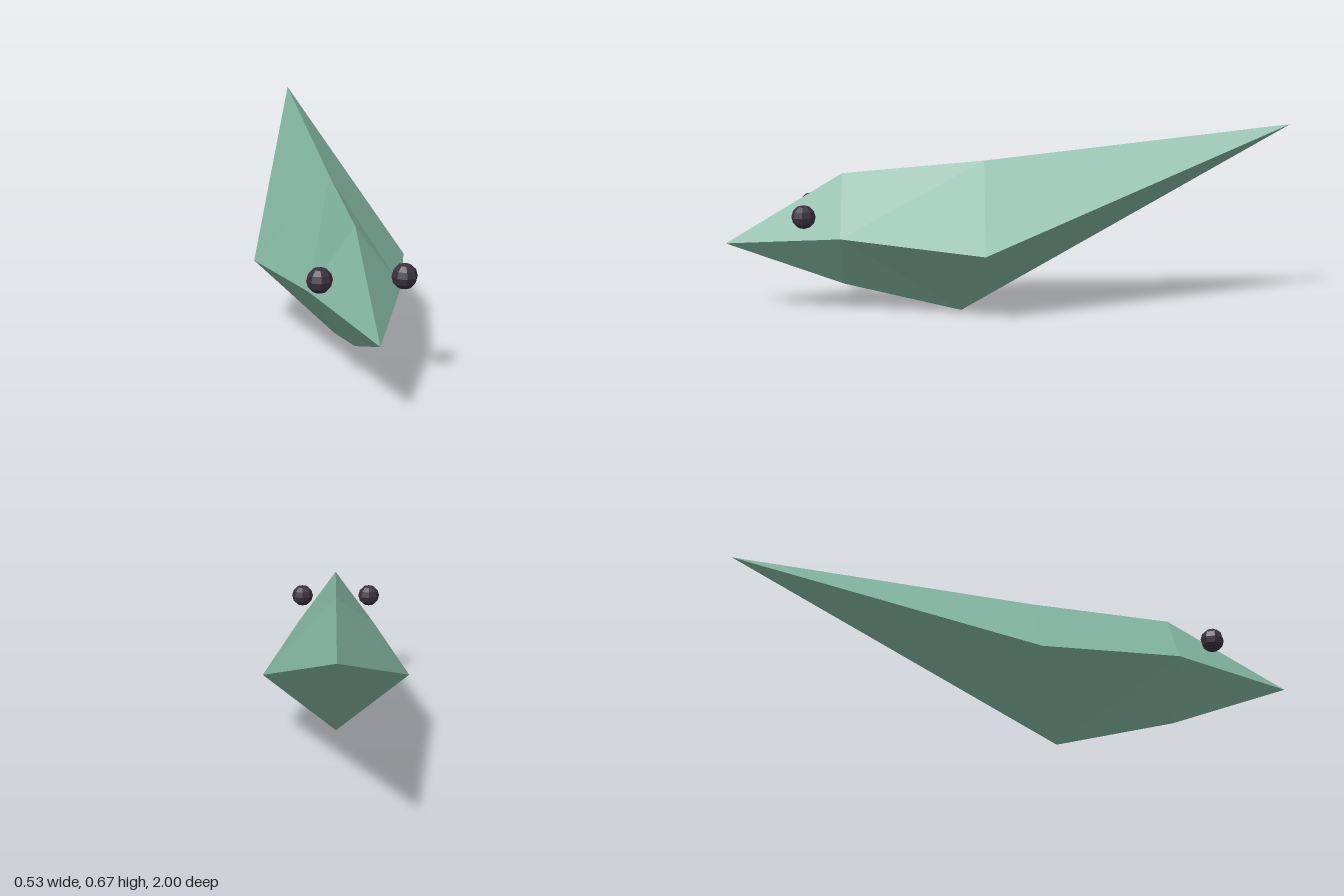
import * as THREE from 'three';

const bodyGreen = new THREE.MeshStandardMaterial({ color: 0x7fb09d, flatShading: true });
bodyGreen.name = 'body green';
const eyeDark = new THREE.MeshStandardMaterial({ color: 0x3a323e, flatShading: true });
eyeDark.name = 'eye dark';

// Corner points of the faceted body: nose, head section, shoulder section, tail
const P = {
  nose: [0, 0.25, 1],
  headTop: [0, 0.5, 0.583], headSide: [0.15, 0.292, 0.583], headBottom: [0, 0.1, 0.583],
  backTop: [0, 0.542, 0.083], backSide: [0.266, 0.25, 0.083], belly: [0, 0, 0.167],
  tail: [0, 0.667, -1],
};

// Faces of the left half; the right half is mirrored
const FACES = [
  ['nose', 'headSide', 'headTop'], ['nose', 'headBottom', 'headSide'],
  ['headSide', 'backSide', 'backTop'], ['headSide', 'backTop', 'headTop'],
  ['headBottom', 'belly', 'headSide'], ['headSide', 'belly', 'backSide'],
  ['backSide', 'tail', 'backTop'], ['belly', 'tail', 'backSide'],
];

function bodyGeometry() {
  const positions = [];
  for (const [a, b, c] of FACES) {
    positions.push(...P[a], ...P[b], ...P[c]);
    for (const k of [a, c, b]) positions.push(-P[k][0], P[k][1], P[k][2]);
  }
  const geometry = new THREE.BufferGeometry();
  geometry.setAttribute('position', new THREE.Float32BufferAttribute(positions, 3));
  geometry.computeVertexNormals();
  return geometry;
}

export function createModel() {
  const model = new THREE.Group();
  model.name = 'lowPolyCreature';

  const body = new THREE.Mesh(bodyGeometry(), bodyGreen);
  body.name = 'body';
  model.add(body);

  // Faceted eyes beside the snout
  const eyeGeometry = new THREE.SphereGeometry(0.0417, 8, 6);
  for (const side of [1, -1]) {
    const eye = new THREE.Mesh(eyeGeometry, eyeDark);
    eye.name = side > 0 ? 'leftEye' : 'rightEye';
    eye.position.set(side * 0.133, 0.368, 0.708);
    model.add(eye);
  }
  return model;
}
